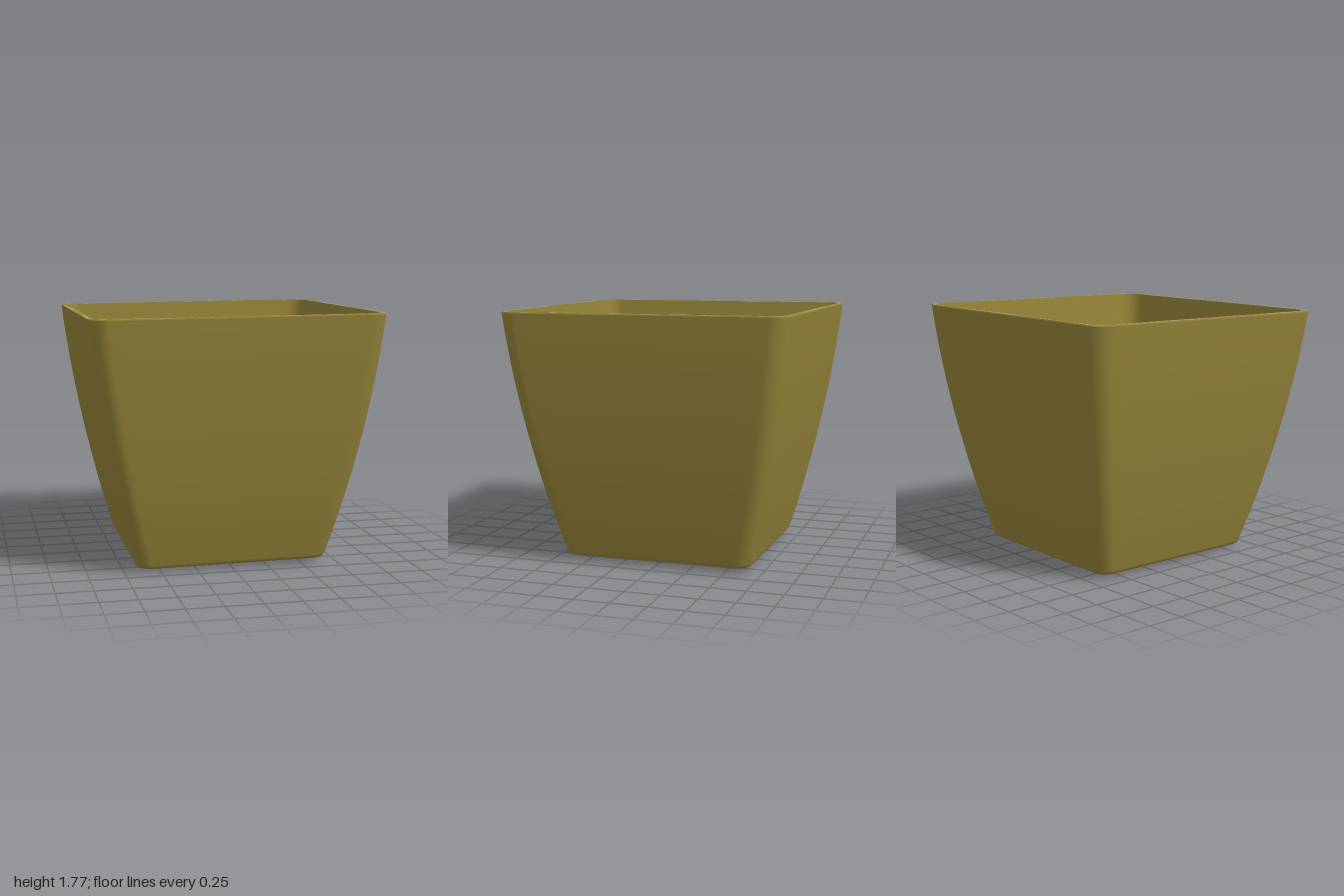
import * as THREE from 'three';

const olive = new THREE.MeshStandardMaterial({ color: 0x948338 });
olive.name = 'olive';
const wornGrey = new THREE.MeshStandardMaterial({ color: 0xa59c84 });
wornGrey.name = 'wornGrey';

const TOP = 1.753, BASE = 0.03, FLOOR = 0.08;
const SIDE_STEPS = 16, CORNER_STEPS = 8;

// Rounded square cross-section as a ring of points at height y
function ring(half, y, r) {
  const points = [];
  const c = half - r;
  for (let k = 0; k < 4; k++) {
    const a0 = k * Math.PI / 2;
    const sx = k === 0 || k === 3 ? 1 : -1, sz = k < 2 ? 1 : -1;
    for (let i = 0; i <= CORNER_STEPS; i++) {
      const a = a0 + i / CORNER_STEPS * Math.PI / 2;
      points.push(new THREE.Vector3(sx * c + r * Math.cos(a), y, sz * c + r * Math.sin(a)));
    }
    // straight run to the next corner
    const last = points[points.length - 1];
    const dir = new THREE.Vector3(Math.cos(a0 + Math.PI), 0, Math.sin(a0 + Math.PI));
    for (let i = 1; i < SIDE_STEPS; i++) {
      points.push(last.clone().addScaledVector(dir, 2 * c * i / SIDE_STEPS));
    }
  }
  return points;
}

// Smooth skin through rings, outward when the rings run upwards
function loft(rings) {
  const n = rings[0].length, index = [];
  for (let i = 0; i < rings.length - 1; i++) {
    for (let j = 0; j < n; j++) {
      const a = i * n + j, b = i * n + (j + 1) % n;
      index.push(a, a + n, b, b, a + n, b + n);
    }
  }
  const g = new THREE.BufferGeometry().setFromPoints(rings.flat());
  g.setIndex(index);
  g.computeVertexNormals();
  return g;
}

// Bowed wall profile: half width and corner radius at height y
function wall(y) {
  const t = (y - 0.06) / 1.69;
  return { half: 0.675 + 0.471 * t - 0.148 * t * t, r: 0.1 + 0.03 * t };
}

export function createModel() {
  const model = new THREE.Group();
  const pot = new THREE.Group();
  pot.name = 'squarePlanter';
  const add = (name, geometry, material) => {
    const mesh = new THREE.Mesh(geometry, material);
    mesh.name = name;
    pot.add(mesh);
    return mesh;
  };

  // Outer wall with a softly rounded bottom edge
  const outer = [ring(0.635, BASE, 0.08), ring(0.655, BASE + 0.002, 0.09), ring(0.668, BASE + 0.012, 0.1)];
  for (let i = 0; i <= 20; i++) {
    const y = 0.06 + (TOP - 0.008 - 0.06) * i / 20, w = wall(y);
    outer.push(ring(w.half, y, w.r));
  }
  add('outerWall', loft(outer), olive);

  // Inner wall, from the rim down into the floor
  const inner = [];
  for (let i = 20; i >= 0; i--) {
    const y = 0.12 + (TOP - 0.12) * i / 20, w = wall(y);
    inner.push(ring(w.half - 0.042, y, w.r - 0.015));
  }
  inner.push(ring(0.64, 0.098, 0.085), ring(0.63, 0.085, 0.085), ring(0.615, FLOOR, 0.08));
  add('innerWall', loft(inner), olive);

  // Rim: olive inside, worn grey patches of varying width outside
  const top = wall(TOP);
  const edge = outer[outer.length - 1];
  const rimOuter = ring(top.half - 0.004, TOP, top.r);
  const rimInner = inner[0];
  const split = rimOuter.map((p, j) => {
    const a = j / rimOuter.length * Math.PI * 2;
    const worn = 0.35 + 0.35 * Math.sin(9 * a + 1) + 0.2 * Math.sin(23 * a);
    return p.clone().lerp(rimInner[j], THREE.MathUtils.clamp(worn, 0, 0.85));
  });
  add('rimEdge', loft([edge, rimOuter]), olive);
  add('rimWornPatches', loft([rimOuter, split]), wornGrey);
  add('rim', loft([split, rimInner]), olive);

  // Floor plate with five drainage holes
  const outline = ring(0.64, 0, 0.085).map(p => new THREE.Vector2(p.x, p.z));
  const plate = new THREE.Shape(outline);
  for (const [x, z] of [[0, 0], [1, 0], [-1, 0], [0, 1], [0, -1]]) {
    const hole = new THREE.Path();
    hole.absarc(x * 0.415, z * 0.415, x || z ? 0.073 : 0.083, 0, Math.PI * 2, true);
    plate.holes.push(hole);
  }
  const floor = new THREE.ExtrudeGeometry(plate, { depth: FLOOR - BASE, bevelEnabled: false, curveSegments: 28 });
  floor.rotateX(-Math.PI / 2);
  add('floor', floor, olive).position.y = BASE;

  // Four small disc feet
  const foot = new THREE.CylinderGeometry(0.07, 0.062, 0.028, 28);
  for (const x of [-1, 1]) {
    for (const z of [-1, 1]) add('foot', foot, olive).position.set(x * 0.515, 0.021, z * 0.515);
  }

  // Slight lean of the whole pot about its middle
  const lean = new THREE.Group();
  lean.name = 'leaningPot';
  pot.position.y = -0.88;
  lean.add(pot);
  lean.position.y = 0.88;
  lean.rotation.set(0.005, 0, 0.01);
  model.add(lean);
  return model;
}
